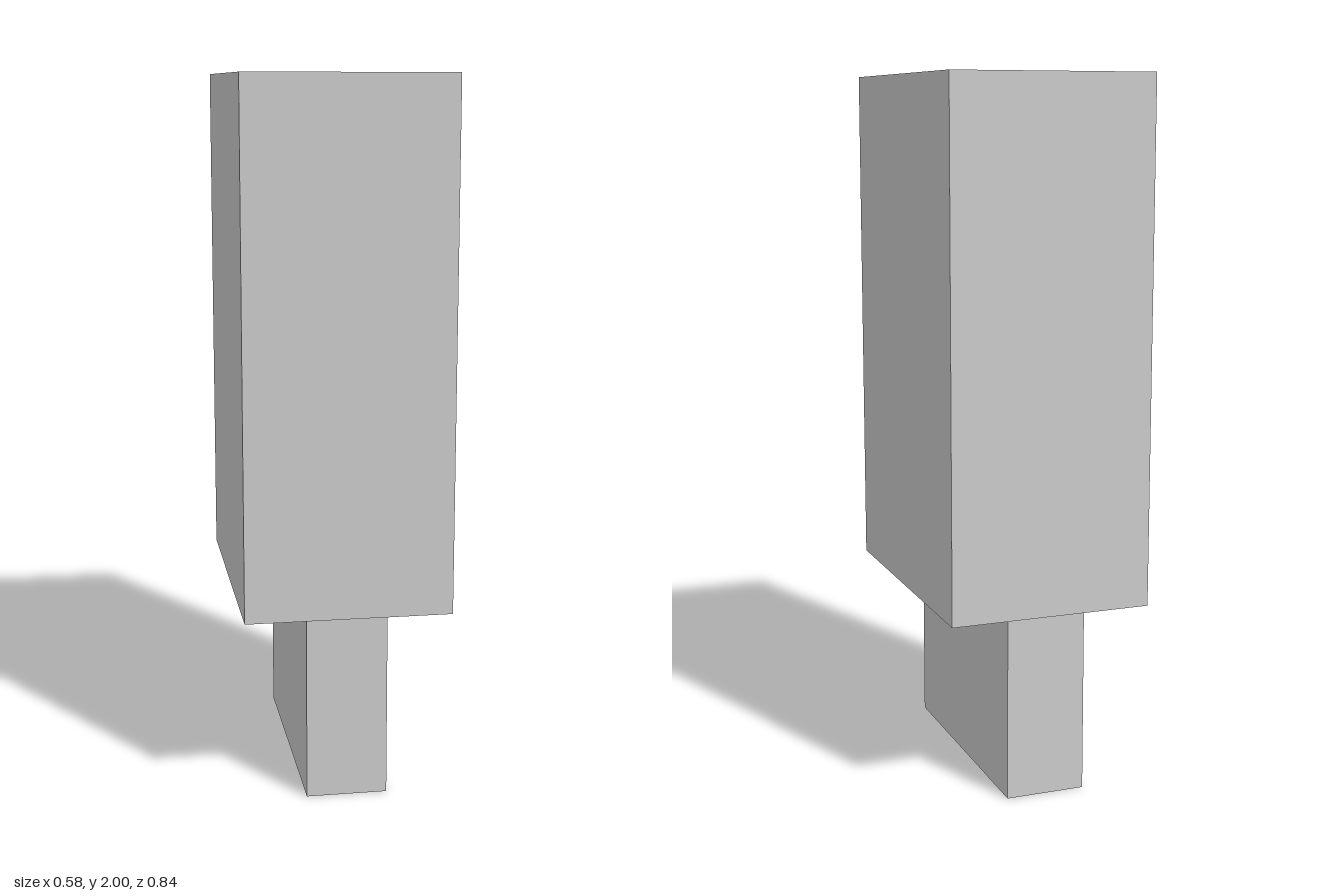
import * as THREE from 'three';

export function createModel() {
  const model = new THREE.Group();
  const material = new THREE.MeshStandardMaterial({ color: 0xcccccc, flatShading: true });

  // Box resting on a given height
  const addBlock = (name, width, height, depth, bottom) => {
    const mesh = new THREE.Mesh(new THREE.BoxGeometry(width, height, depth), material);
    mesh.name = name;
    mesh.position.y = bottom + height / 2;
    model.add(mesh);
  };

  const stemHeight = 0.533;
  addBlock('stem', 0.228, stemHeight, 0.758, 0); // narrow lower block
  addBlock('body', 0.58, 2 - stemHeight, 0.843, stemHeight); // wide upper block

  return model;
}
